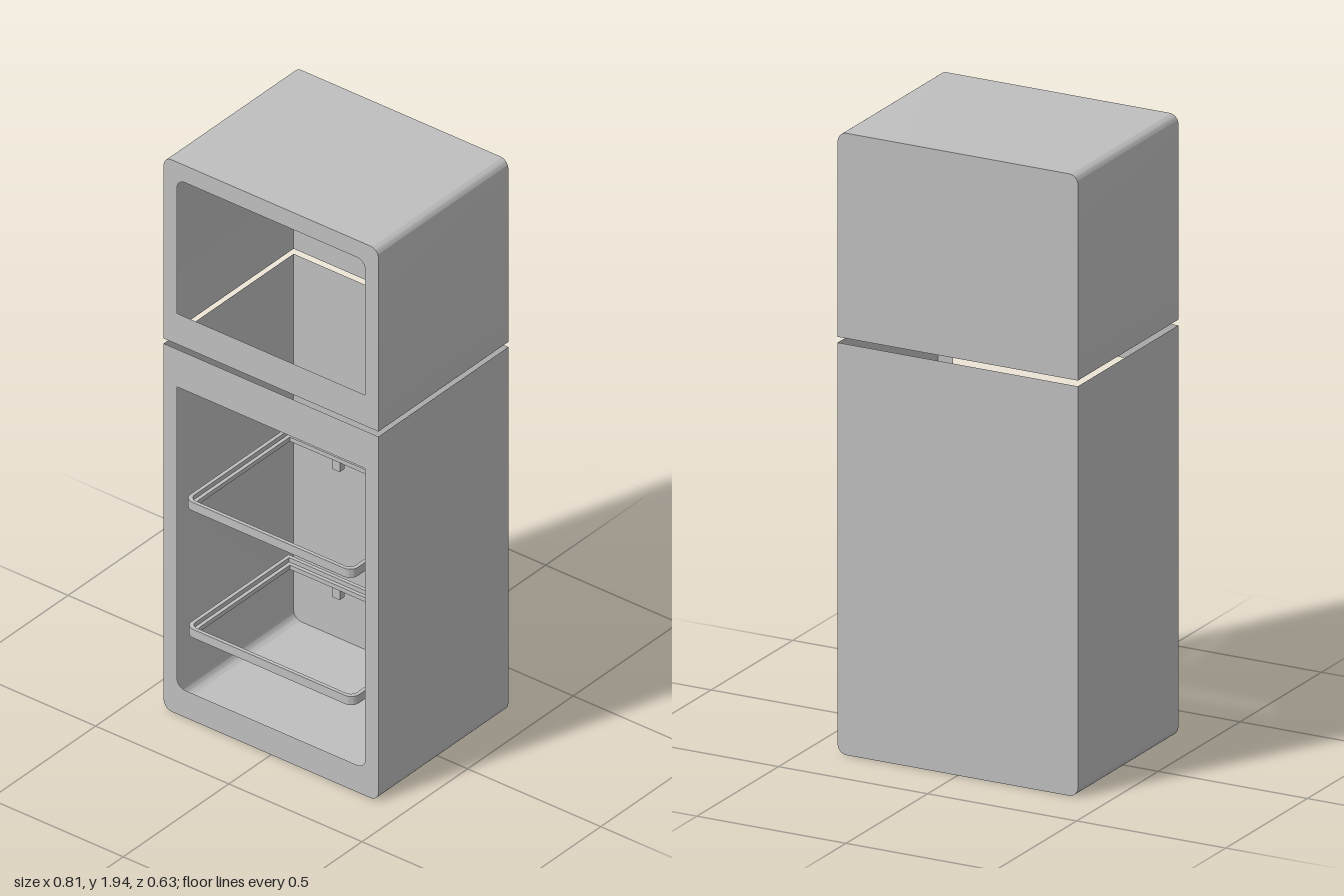
import * as THREE from 'three';
import { toCreasedNormals } from 'three/addons/utils/BufferGeometryUtils.js';

const grey = new THREE.MeshStandardMaterial({ color: 0xbfbfbf, side: THREE.DoubleSide });
grey.name = 'grey enamel';

const BACK = -0.315, FRONT = 0.30;

function addMesh(parent, name, geometry) {
  const mesh = new THREE.Mesh(geometry, grey);
  mesh.name = name;
  parent.add(mesh);
  return mesh;
}

// U-shaped outline: square corners at y0, corners of radius r at y1 (above or below y0)
function arch(Type, halfW, y0, y1, r) {
  const s = Math.sign(y1 - y0);
  const p = new Type();
  p.moveTo(halfW, y0);
  p.lineTo(halfW, y1 - s * r);
  p.absarc(halfW - r, y1 - s * r, r, 0, s * Math.PI / 2, s < 0);
  p.lineTo(-halfW + r, y1);
  p.absarc(-halfW + r, y1 - s * r, r, s * Math.PI / 2, s * Math.PI, s < 0);
  p.lineTo(-halfW, y0);
  return p;
}

// Thin wall that follows an open outline from front to back
function wallGeometry(points) {
  const pos = [], index = [];
  points.forEach((p, i) => {
    pos.push(p.x, p.y, FRONT, p.x, p.y, BACK);
    if (i) {
      const a = 2 * i - 2;
      index.push(a, a + 1, a + 3, a, a + 3, a + 2);
    }
  });
  const g = new THREE.BufferGeometry();
  g.setAttribute('position', new THREE.Float32BufferAttribute(pos, 3));
  g.setIndex(index);
  return toCreasedNormals(g, 0.6);
}

// Hollow compartment, open towards the gap at y0, with a framed front opening
function compartment(name, y0, y1, open0, open1) {
  const group = new THREE.Group();
  group.name = name;
  const outline = arch(THREE.Shape, 0.403, y0, y1, 0.03);
  let points = outline.getPoints(8);
  if (y1 < y0) points = points.reverse();
  addMesh(group, 'outerWalls', wallGeometry(points));

  // Back panel faces outward
  const back = new THREE.ShapeGeometry(outline, 8);
  back.rotateY(Math.PI).translate(0, 0, BACK);
  addMesh(group, 'backPanel', back);

  // Front frame
  const face = arch(THREE.Shape, 0.403, y0, y1, 0.03);
  face.holes.push(arch(THREE.Path, 0.353, open0, open1, 0.03));
  const front = new THREE.ShapeGeometry(face, 8);
  front.translate(0, 0, FRONT);
  addMesh(group, 'frontFrame', front);
  return group;
}

// Shelf outline in plan, rounded at the front corners (shape y becomes z)
function plan(Type, inset, front) {
  return arch(Type, 0.315 - inset, -0.18 + inset, front - inset, 0.03 - inset * 0.5);
}

function ring(inset, width, height, front) {
  const shape = plan(THREE.Shape, inset, front);
  shape.holes.push(plan(THREE.Path, inset + width, front));
  const g = new THREE.ExtrudeGeometry(shape, { depth: height, bevelEnabled: false, curveSegments: 6 });
  g.rotateX(Math.PI / 2);
  return toCreasedNormals(g, 0.6);
}

// Open shelf rim with a lower inner lip and two rear supports
function shelf(name, top, front) {
  const group = new THREE.Group();
  group.name = name;
  addMesh(group, 'shelfRim', ring(0, 0.012, 0.03, front)).position.y = top;
  addMesh(group, 'shelfLip', ring(0.012, 0.012, 0.015, front)).position.y = top - 0.015;
  for (const x of [-0.121, 0.118]) {
    const support = addMesh(group, 'shelfSupport', new THREE.BoxGeometry(0.03, 0.036, 0.022));
    support.position.set(x, top - 0.047, -0.17);
  }
  return group;
}

export function createModel() {
  const model = new THREE.Group();
  model.name = 'refrigeratorCabinet';
  model.add(compartment('freezerCompartment', 1.36, 2.0, 1.468, 1.94));
  model.add(compartment('fridgeCompartment', 1.342, 0.06, 1.21, 0.155));
  model.add(shelf('upperShelf', 0.84, 0.315));
  model.add(shelf('lowerShelf', 0.39, 0.31));
  return model;
}
